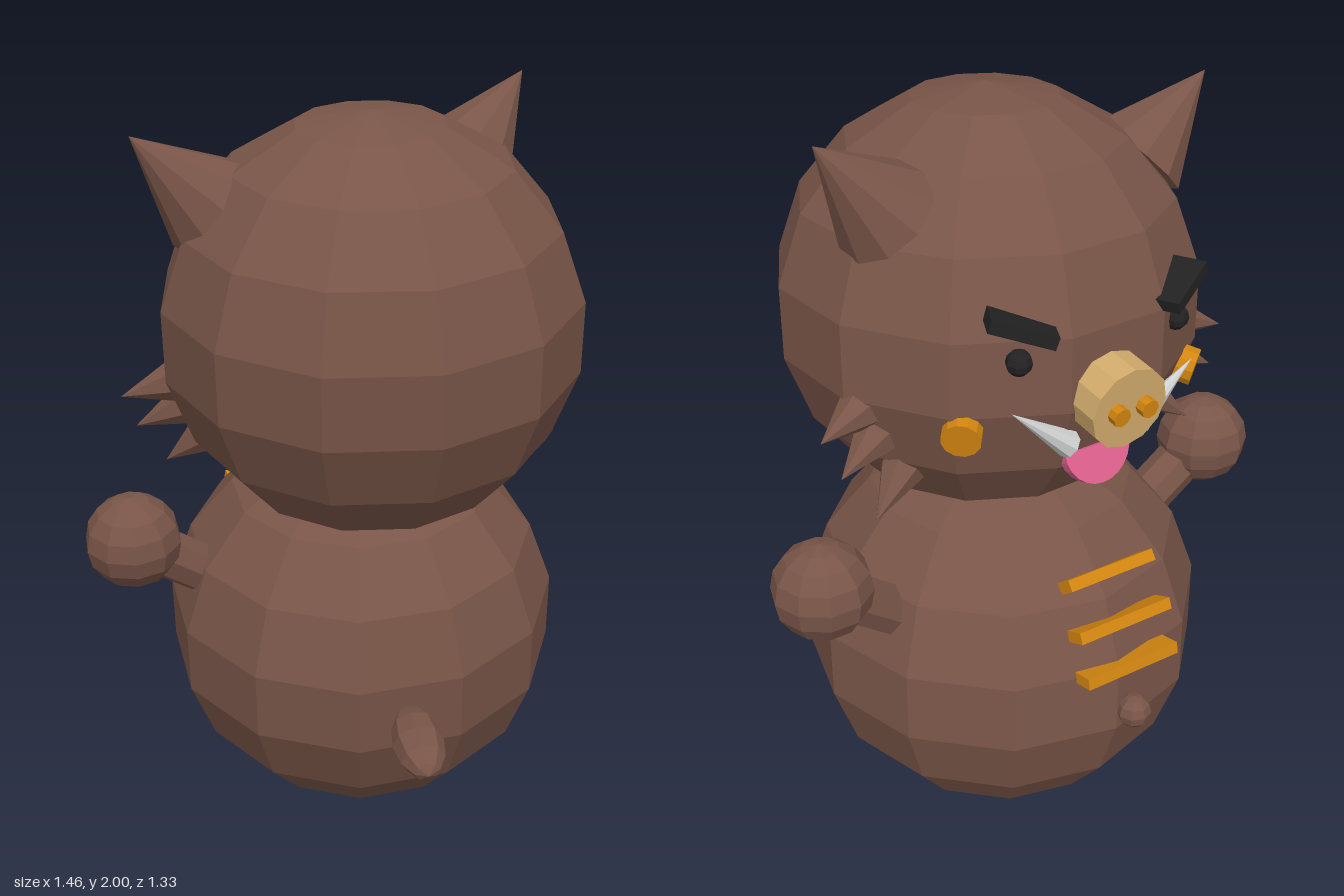
import * as THREE from 'three';

const V = (x, y, z) => new THREE.Vector3(x, y, z);
const Y = V(0, 1, 0), Z = V(0, 0, 1);

export function createModel() {
  const material = (name, color) => {
    const m = new THREE.MeshStandardMaterial({ color, flatShading: true });
    m.name = name;
    return m;
  };
  const brown = material('brown', 0x795548);
  const orange = material('orange', 0xd28510);
  const tan = material('tan', 0xd2ab6c);
  const pink = material('pink', 0xe0628f);
  const grey = material('tuskGrey', 0xcfd2d0);
  const black = material('black', 0x222222);

  const add = (parent, name, geometry, mat, pos) => {
    const mesh = new THREE.Mesh(geometry, mat);
    mesh.name = name;
    mesh.position.copy(pos);
    parent.add(mesh);
    return mesh;
  };
  // Tapered rod from a to b
  const rod = (parent, name, a, b, ra, rb, sides, mat) => {
    const dir = b.clone().sub(a);
    const geometry = new THREE.CylinderGeometry(rb, ra, dir.length(), sides);
    const mesh = add(parent, name, geometry, mat, a.clone().add(b).multiplyScalar(0.5));
    mesh.quaternion.setFromUnitVectors(Y, dir.normalize());
    return mesh;
  };
  // Disc facing outward along dir
  const disc = (parent, name, pos, dir, r, depth, sides, mat) => {
    const half = dir.clone().normalize().multiplyScalar(depth / 2);
    return rod(parent, name, pos.clone().sub(half), pos.clone().add(half), r, r, sides, mat);
  };

  // The figure faces its local +z, then is turned and leaned as a whole
  const root = new THREE.Group();
  root.name = 'boarFigure';
  const figure = new THREE.Group();
  figure.name = 'figure';
  figure.position.set(0.059, 0.013, -0.112);
  figure.rotation.set(-0.085, Math.PI + 0.18, -0.055, 'YXZ');
  root.add(figure);

  // Body
  const body = new THREE.Group();
  body.name = 'body';
  body.position.set(0, 0.527, 0.027);
  figure.add(body);
  add(body, 'torso', new THREE.SphereGeometry(0.54, 12, 9), brown, V(0, 0, 0));
  add(body, 'navel', new THREE.SphereGeometry(0.045, 8, 6), brown, V(0.04, -0.04, 0.55));

  // Plain belly stripes
  for (const [y, z, w] of [[0.32, 0.43, 0.26], [0.21, 0.49, 0.28], [0.1, 0.525, 0.28]]) {
    const bar = add(body, 'bellyStripe', new THREE.BoxGeometry(w, 0.03, 0.06), orange, V(0.03, y, z));
    bar.rotation.x = -Math.atan2(y, z);
  }

  // Tail
  const tail = add(body, 'tail', new THREE.SphereGeometry(1, 8, 6).rotateX(Math.PI / 2), brown, V(0.18, 0.012, -0.607));
  tail.scale.set(0.065, 0.052, 0.127);
  tail.quaternion.setFromUnitVectors(Z, V(0.33, -0.02, -0.94).normalize());

  // Arms and hands
  for (const s of [1, -1]) {
    const hand = V(s * 0.626, 0.371, 0.128 - s * 0.04);
    rod(body, 'arm', V(s * 0.38, 0.18, 0.1 - s * 0.03), hand, 0.066, 0.066, 8, brown);
    add(body, 'hand', new THREE.SphereGeometry(0.126, 10, 8), brown, hand);
  }

  // Head
  const head = new THREE.Group();
  head.name = 'head';
  head.position.set(0, 1.437, -0.037);
  figure.add(head);
  add(head, 'skull', new THREE.SphereGeometry(0.54, 12, 9).rotateY(-0.21), brown, V(0, 0, 0));

  // Snout
  const snoutDir = V(0, -0.14, 1);
  disc(head, 'snout', V(0, -0.075, 0.55), snoutDir, 0.105, 0.09, 12, tan);

  // Tongue, a half disc hanging forward
  const half = new THREE.Shape();
  half.absarc(0, 0, 0.095, Math.PI, Math.PI * 2, false);
  const tongueGeo = new THREE.ExtrudeGeometry(half, { depth: 0.03, bevelEnabled: false, curveSegments: 6 });
  const tongue = add(head, 'tongue', tongueGeo, pink, V(0, -0.235, 0.45));
  tongue.rotation.x = -0.3;

  const spikeTips = [[0.6, -0.16, 0.22], [0.56, -0.26, 0.235], [0.48, -0.39, 0.25]];
  for (const s of [1, -1]) {
    // Ears
    rod(head, 'ear', V(s * 0.36, 0.325, 0.135), V(s * 0.545, 0.518, 0.162), 0.135, 0, 10, brown);

    // Nostrils
    disc(head, 'nostril', V(s * 0.04, -0.081, 0.6), snoutDir, 0.024, 0.04, 8, orange);

    // Eyes
    add(head, 'eye', new THREE.SphereGeometry(0.032, 8, 6), black, V(s * 0.225, 0.048, 0.475));

    // Brows, low at the inner end
    const brow = add(head, 'brow', new THREE.BoxGeometry(0.16, 0.032, 0.09), black, V(s * 0.22, 0.132, 0.475));
    brow.rotation.set(0, s * 0.45, s * 0.33, 'YXZ');

    // Cheek spots
    const cheek = V(s * 0.33, -0.134, 0.4);
    disc(head, 'cheekSpot', cheek, cheek, 0.048, 0.05, 12, orange);

    // Tusks
    rod(head, 'tusk', V(s * 0.1, -0.185, 0.5), V(s * 0.262, -0.06, 0.5), 0.034, 0, 8, grey);

    // Cheek fur spikes
    for (const [x, y, z] of spikeTips) {
      const tip = V(s * x, y, z);
      rod(head, 'furSpike', tip.clone().multiplyScalar(0.75), tip, 0.065, 0, 7, brown);
    }
  }
  return root;
}
